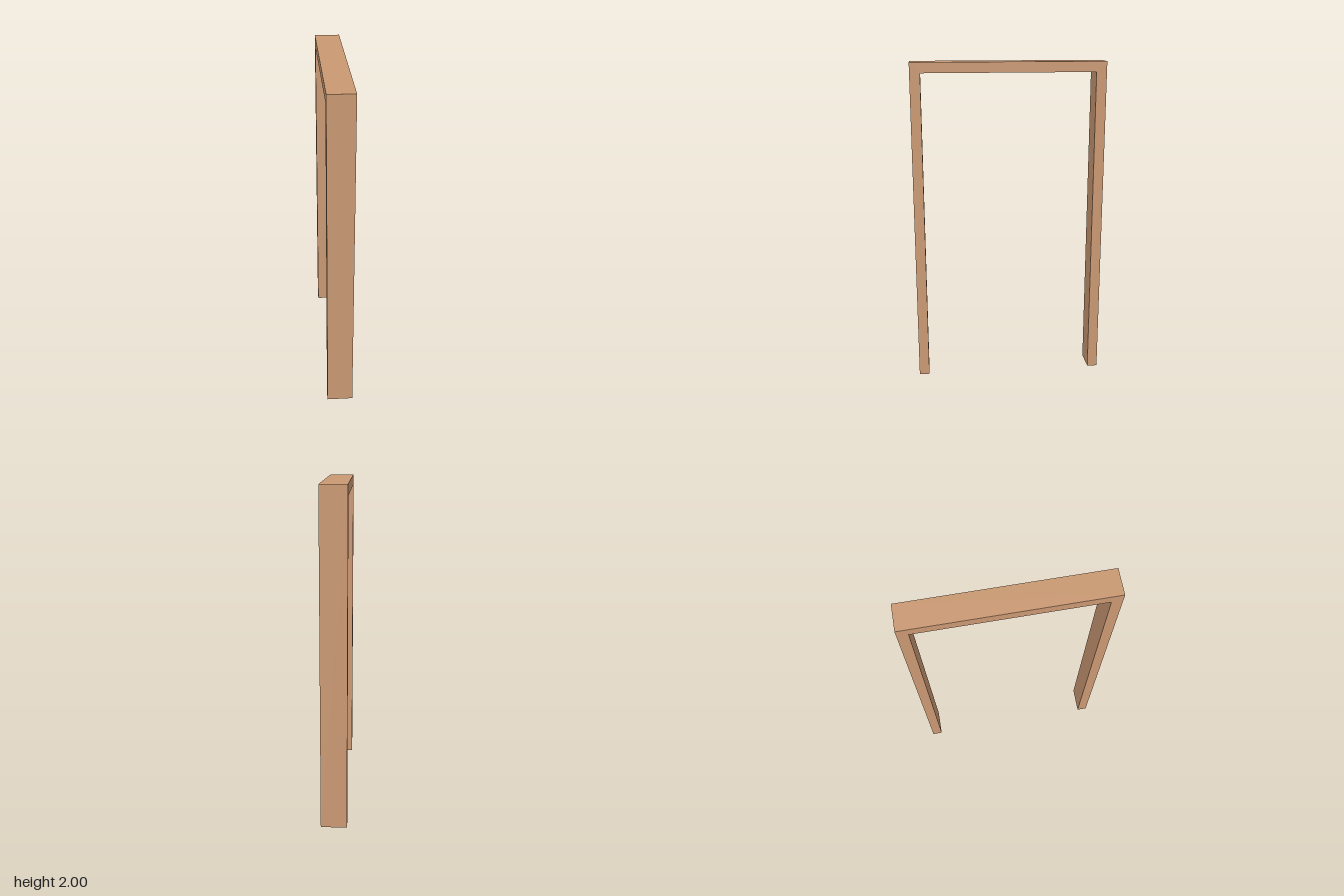
import * as THREE from 'three';

const HEIGHT = 2, HALF_SPAN = 0.59, THICKNESS = 0.063, WIDTH = 0.156;

export function createModel() {
  const group = new THREE.Group();
  group.name = 'doorFrame';
  const wood = new THREE.MeshStandardMaterial({ color: 0xc99872 });
  wood.name = 'wood';

  // Two jambs and the header as one continuous outline, open at the floor
  const inner = HALF_SPAN - THICKNESS, underside = HEIGHT - THICKNESS;
  const outline = new THREE.Shape([
    [-HALF_SPAN, 0], [-inner, 0], [-inner, underside], [inner, underside],
    [inner, 0], [HALF_SPAN, 0], [HALF_SPAN, HEIGHT], [-HALF_SPAN, HEIGHT],
  ].map(([z, y]) => new THREE.Vector2(z, y)));

  // Extrude through the wall depth, then turn the span onto the z axis
  const geometry = new THREE.ExtrudeGeometry(outline, { depth: WIDTH, bevelEnabled: false });
  geometry.translate(0, 0, -WIDTH / 2);
  geometry.rotateY(-Math.PI / 2);

  const frame = new THREE.Mesh(geometry, wood);
  frame.name = 'jambsAndHeader';
  group.add(frame);
  return group;
}
